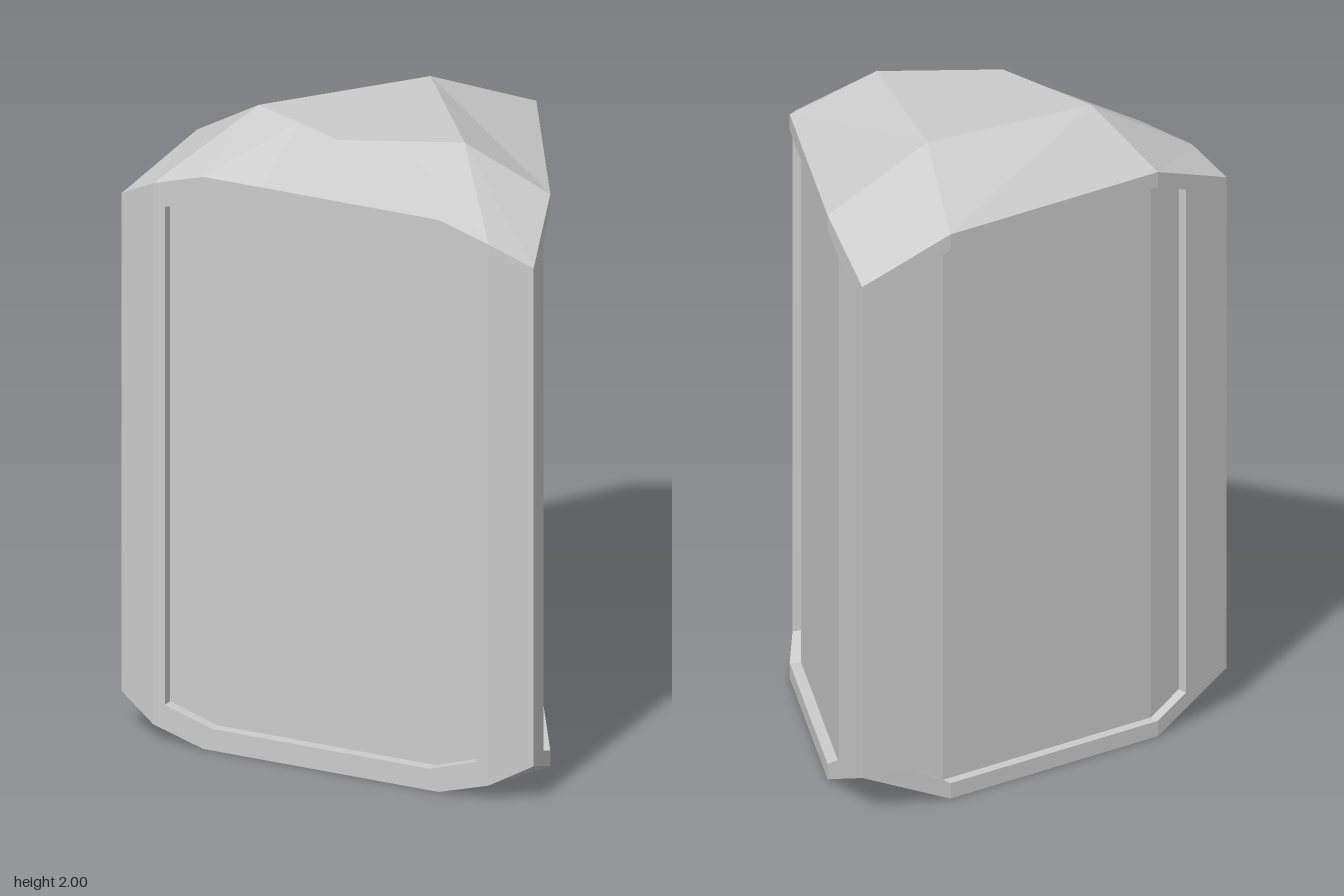
import * as THREE from 'three';

const TOP = 1.85, RISE = 0.15, DEPTH = 0.035;

// Flat-faced mesh from convex faces (each a counter-clockwise list of points)
function facetMesh(name, faces, material) {
  const pos = [];
  for (const f of faces)
    for (let i = 1; i < f.length - 1; i++) pos.push(...f[0], ...f[i], ...f[i + 1]);
  const geo = new THREE.BufferGeometry();
  geo.setAttribute('position', new THREE.Float32BufferAttribute(pos, 3));
  geo.computeVertexNormals();
  const mesh = new THREE.Mesh(geo, material);
  mesh.name = name;
  return mesh;
}

const mirror = (faces) => faces.map((f) => f.map(([x, y, z]) => [-x, y, z]).reverse());

// Columns are [x, z, bottom, top], listed left to right as seen from outside
const low = ([x, z, b]) => [x, b, z];
const high = ([x, z, , t]) => [x, t, z];
const strip = (a, b) => [low(a), low(b), high(b), high(a)];

// Frame around an opening, the lip going inward and the recessed panel
function recessedWall(outer, inner, [dx, dz]) {
  const floor = inner.map(([x, z, b, t]) => [x + dx, z + dz, b, t]);
  const n = outer.length - 1;
  const frame = [], lip = [], panel = [];
  const band = (out, a, b) => {
    for (let i = 0; i < n; i++) {
      out.push([low(a[i]), low(a[i + 1]), low(b[i + 1]), low(b[i])]);
      out.push([high(b[i]), high(b[i + 1]), high(a[i + 1]), high(a[i])]);
    }
    out.push([low(a[0]), low(b[0]), high(b[0]), high(a[0])]);
    out.push([low(b[n]), low(a[n]), high(a[n]), high(b[n])]);
  };
  band(frame, outer, inner);
  band(lip, inner, floor);
  for (let i = 0; i < n; i++) panel.push(strip(floor[i], floor[i + 1]));
  return { frame, lip, panel };
}

export function createModel() {
  const group = new THREE.Group();
  const grey = new THREE.MeshStandardMaterial({ color: 0xcccccc, side: THREE.DoubleSide });
  grey.name = 'light grey';
  const add = (name, faces) => group.add(facetMesh(name, faces, grey));
  const col = (x, z, d) => [x, z, d, TOP - d];

  // Side walls, bent in three along the height
  const side = recessedWall(
    [col(0.7, 0.58, 0.12), col(0.6, 0.275, 0), col(0.2, -0.41, 0), col(0, -0.625, 0.12)],
    [col(0.641, 0.4, 0.1), col(0.6, 0.275, 0.05), col(0.2, -0.41, 0.05), col(0.126, -0.49, 0.11)],
    [-0.864 * DEPTH, 0.504 * DEPTH]
  );
  for (const part of ['frame', 'lip', 'panel']) {
    add('leftWall ' + part, side[part]);
    add('rightWall ' + part, mirror(side[part]));
  }

  // Front wall with its chamfered corner strips
  const front = recessedWall(
    [col(-0.57, 0.625, 0.05), col(-0.4, 0.625, 0), col(0.4, 0.625, 0), col(0.57, 0.625, 0.05)],
    [col(-0.53, 0.625, 0.12), col(-0.37, 0.625, 0.07), col(0.37, 0.625, 0.07), col(0.53, 0.625, 0.12)],
    [0, -DEPTH]
  );
  for (const part of ['frame', 'lip', 'panel']) add('frontWall ' + part, front[part]);
  const corner = [strip(col(0.57, 0.625, 0.05), col(0.7, 0.58, 0.12))];
  add('leftCorner', corner);
  add('rightCorner', mirror(corner));

  // Cap points: [x, z, height above the straight rim]
  const P = {
    back: [0, -0.625, -0.12], backSide: [0.2, -0.41, 0], side: [0.6, 0.275, 0],
    tip: [0.7, 0.58, -0.12], edge: [0.57, 0.625, -0.05], frontOut: [0.4, 0.625, 0],
    frontIn: [0.2, 0.625, 0], frontMid: [0, 0.625, 0],
    crownBack: [0, -0.1, RISE], crownSide: [0.35, 0.355, RISE],
    crownHalf: [0.175, 0.4325, RISE], crownFront: [0, 0.51, RISE],
  };
  const capFaces = [
    ['back', 'crownBack', 'backSide'],
    ['crownBack', 'crownSide', 'side', 'backSide'],
    ['crownBack', 'crownFront', 'crownHalf', 'crownSide'],
    ['crownSide', 'edge', 'tip', 'side'],
    ['crownHalf', 'frontOut', 'edge', 'crownSide'],
    ['crownFront', 'frontIn', 'frontOut', 'crownHalf'],
    ['crownFront', 'frontMid', 'frontIn'],
  ];
  const cap = (height) => capFaces.map((f) => f.map((k) => [P[k][0], height(P[k][2]), P[k][1]]));

  // Raised top cap, and a hollow underside of the same shape
  const top = cap((h) => TOP + h);
  add('topCap', [...top, ...mirror(top)]);
  const under = cap((h) => Math.abs(h)).map((f) => [...f].reverse());
  add('hollowUnderside', [...under, ...mirror(under)]);

  return group;
}
